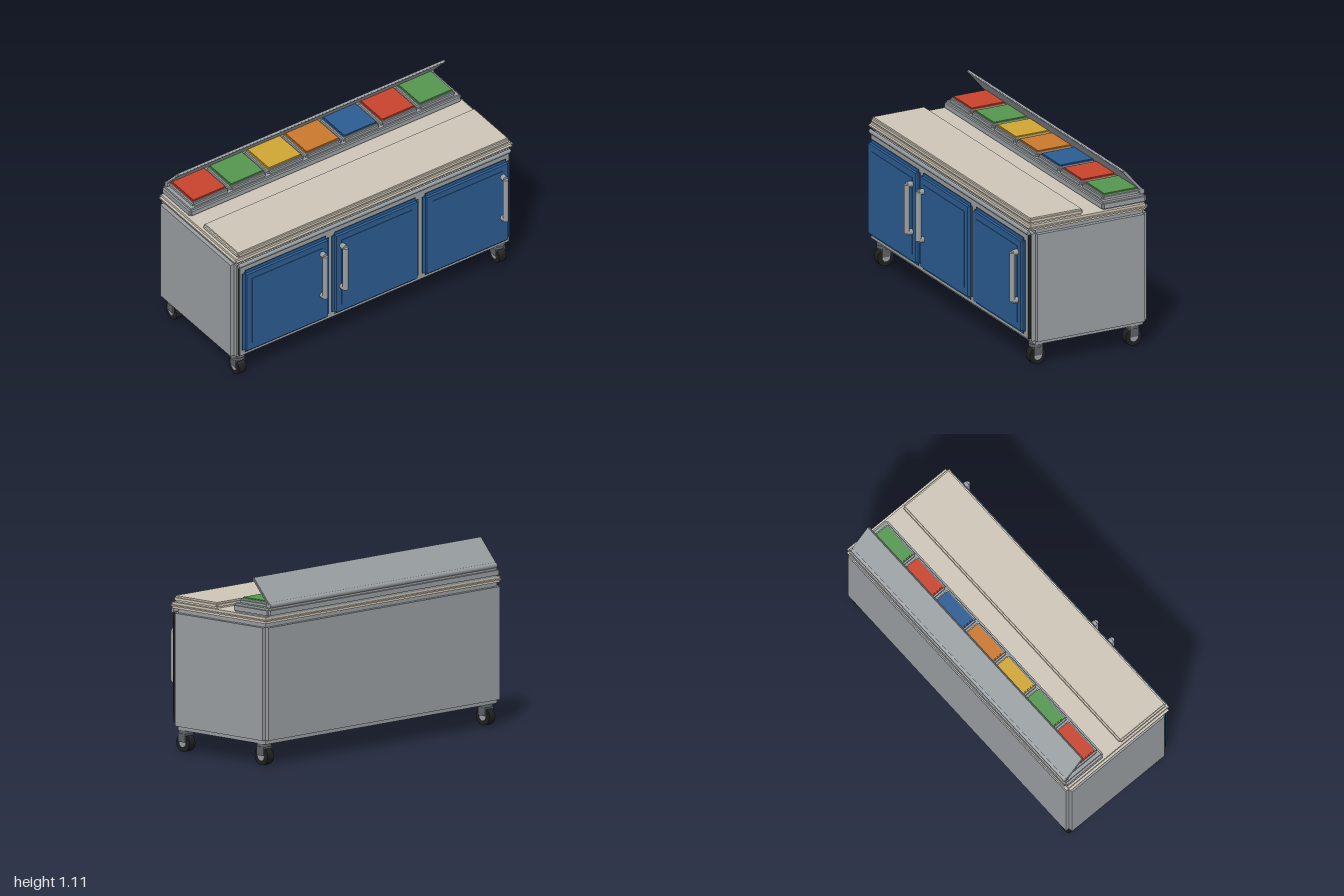
import * as THREE from 'three';

const material = (name, color) => {
  const m = new THREE.MeshStandardMaterial({ color });
  m.name = name;
  return m;
};

export function createModel() {
  const model = new THREE.Group();
  model.name = 'preparationCounter';
  const steel = material('steel', 0x9a9fa2);
  const darkSteel = material('dark steel', 0x5c6165);
  const cream = material('cream', 0xcdc5b6);
  const blue = material('blue', 0x2b5c92);
  const black = material('black', 0x1e1f20);
  const red = material('red', 0xc8432d);
  const green = material('green', 0x55964f);
  const yellow = material('yellow', 0xcfa633);
  const orange = material('orange', 0xc9782e);

  const add = (parent, name, geo, mat, x = 0, y = 0, z = 0) => {
    const mesh = new THREE.Mesh(geo, mat);
    mesh.name = name;
    mesh.position.set(x, y, z);
    parent.add(mesh);
    return mesh;
  };

  // Plain box given by its limits on each axis
  const box = (parent, name, mat, [x0, x1], [y0, y1], [z0, z1]) =>
    add(parent, name, new THREE.BoxGeometry(x1 - x0, y1 - y0, z1 - z0), mat,
      (x0 + x1) / 2, (y0 + y1) / 2, (z0 + z1) / 2);

  // Box with stepped edges: three crossing boxes, each inset on two axes
  const stepBox = (parent, name, mat, xs, ys, zs, sx, sy = sx, sz = sx) => {
    const g = new THREE.Group();
    g.name = name;
    const inset = ([a, b], s) => [a + s, b - s];
    box(g, name + 'Sides', mat, xs, inset(ys, sy), inset(zs, sz));
    box(g, name + 'Core', mat, inset(xs, sx), ys, inset(zs, sz));
    box(g, name + 'Faces', mat, inset(xs, sx), inset(ys, sy), zs);
    parent.add(g);
    return g;
  };

  // Cabinet, worktop and cutting board
  stepBox(model, 'cabinet', steel, [-1, 1], [0.132, 0.856], [-0.435, 0.334], 0.025);
  stepBox(model, 'worktop', cream, [-1, 1], [0.854, 0.892], [-0.437, 0.36], 0.015);
  stepBox(model, 'cuttingBoard', cream, [-0.975, 0.975], [0.892, 0.928], [-0.012, 0.348], 0.01);
  const trim = add(model, 'frontTrim', new THREE.CylinderGeometry(0.01, 0.01, 1.95, 12), steel, 0, 0.839, 0.353);
  trim.rotation.z = Math.PI / 2;
  trim.scale.x = 1.4;

  // Door seal with its steel face
  box(model, 'doorSeal', black, [-0.965, 0.965], [0.172, 0.822], [0.33, 0.352]);
  box(model, 'doorFrameFace', steel, [-0.965, 0.965], [0.172, 0.822], [0.352, 0.354]);

  // Doors with a raised panel and a bar handle
  [[-0.647, -0.4], [-0.005, -0.255], [0.645, 0.895]].forEach(([x, handleX]) => {
    const door = new THREE.Group();
    door.name = 'door';
    model.add(door);
    stepBox(door, 'doorLeaf', blue, [x - 0.31, x + 0.31], [0.2, 0.802], [0.346, 0.387], 0.02, 0.02, 0.018);
    box(door, 'doorPanel', blue, [x - 0.253, x + 0.253], [0.265, 0.742], [0.386, 0.39]);
    add(door, 'handleBar', new THREE.CylinderGeometry(0.017, 0.017, 0.305, 16), steel, handleX, 0.552, 0.421);
    for (const y of [0.403, 0.703]) {
      const mount = add(door, 'handleMount', new THREE.CylinderGeometry(0.018, 0.018, 0.036, 16), steel, handleX, y, 0.403);
      mount.rotation.x = Math.PI / 2;
    }
  });

  // Raised rail with a row of ingredient pans
  stepBox(model, 'panRail', steel, [-0.975, 0.975], [0.888, 0.944], [-0.436, -0.138], 0.013);
  [red, green, yellow, orange, blue, red, green].forEach((mat, i) => {
    const x = (i - 3) * 0.271;
    stepBox(model, 'panRim', steel, [x - 0.128, x + 0.128], [0.936, 0.971], [-0.425, -0.157], 0.01);
    stepBox(model, 'panContents', mat, [x - 0.119, x + 0.119], [0.962, 0.978], [-0.408, -0.172], 0.006, 0.004, 0.006);
  });

  // Open lid on its hinge rod
  const hinge = add(model, 'lidHinge', new THREE.CylinderGeometry(0.017, 0.017, 1.91, 16), steel, 0, 0.958, -0.415);
  hinge.rotation.z = Math.PI / 2;
  const lid = new THREE.Group();
  lid.name = 'lid';
  lid.position.set(0, 0.962, -0.418);
  lid.rotation.x = 0.725;
  stepBox(lid, 'lidPanel', steel, [-0.96, 0.96], [0, 0.196], [-0.008, 0.008], 0.004);
  model.add(lid);

  // Casters at the four corners
  for (const x of [-0.933, 0.933]) for (const z of [0.284, -0.358]) {
    const caster = new THREE.Group();
    caster.name = 'caster';
    caster.position.set(x, 0, z);
    model.add(caster);
    add(caster, 'casterPlate', new THREE.CylinderGeometry(0.044, 0.044, 0.02, 20), darkSteel, 0, 0.122, 0);
    box(caster, 'forkTop', darkSteel, [-0.035, 0.035], [0.1, 0.115], [-0.029, 0.029]);
    for (const s of [-1, 1]) {
      const a = s * 0.031;
      box(caster, 'forkArm', darkSteel, [a - 0.004, a + 0.004], [0.06, 0.112], [-0.029, 0.029]);
    }
    const wheel = add(caster, 'wheel', new THREE.CylinderGeometry(0.054, 0.054, 0.05, 20), black, 0, 0.055, 0);
    const hub = add(caster, 'wheelHub', new THREE.CylinderGeometry(0.026, 0.026, 0.056, 16), steel, 0, 0.055, 0);
    wheel.rotation.z = hub.rotation.z = Math.PI / 2;
  }
  return model;
}
